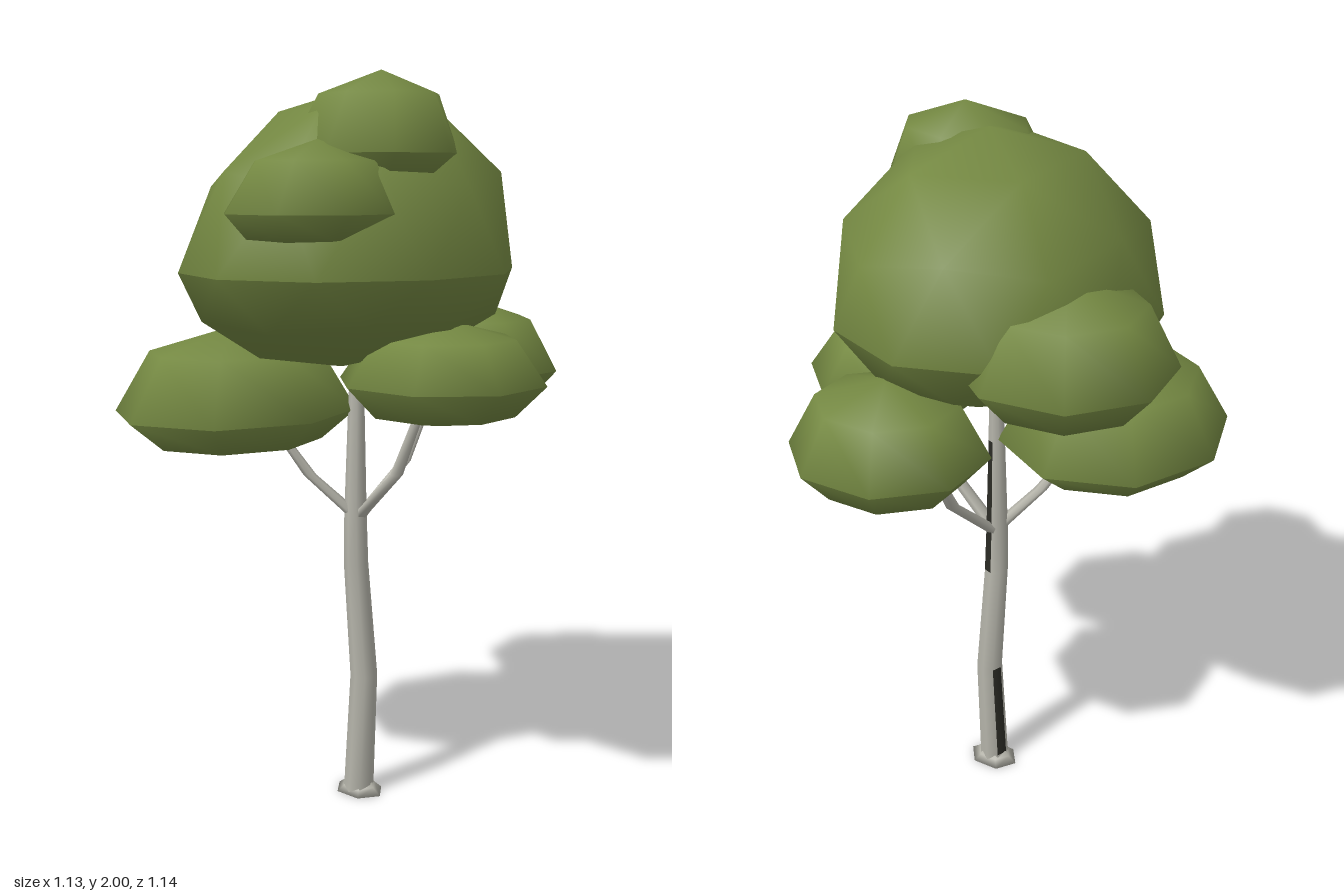
import * as THREE from 'three';

function flat(name, color) {
  const m = new THREE.MeshStandardMaterial({ color });
  m.name = name;
  return m;
}
const leaf = flat('leafGreen', 0x748842);
const bark = flat('paleBark', 0xb5b4aa);
const mark = flat('darkBarkMark', 0x2b2b25);

// Tapered limb through rings given as [x, y, z, radius]; marks lists dark [ring, side] cells
function limb(name, rings, sides, marks = []) {
  const pos = [], pale = [], dark = [];
  rings.forEach(([x, y, z, r], i) => {
    for (let s = 0; s < sides; s++) {
      const a = (s / sides) * Math.PI * 2;
      pos.push(x + r * Math.cos(a), y, z + r * Math.sin(a));
      if (i === rings.length - 1) continue;
      const p = i * sides + s, q = i * sides + ((s + 1) % sides);
      const cell = marks.some(([mr, ms]) => mr === i && ms === s) ? dark : pale;
      cell.push(p, p + sides, q, q, p + sides, q + sides);
    }
  });
  const geo = new THREE.BufferGeometry();
  geo.setAttribute('position', new THREE.Float32BufferAttribute(pos, 3));
  geo.setIndex([...pale, ...dark]);
  geo.addGroup(0, pale.length, 0);
  geo.addGroup(pale.length, dark.length, 1);
  geo.computeVertexNormals();
  const mesh = new THREE.Mesh(geo, [bark, mark]);
  mesh.name = name;
  return mesh;
}

// Leaf clump: smooth dome above its widest line, flatter underside below,
// with a sharp edge between them; lean shifts the dome in x and z as it rises
function clump(name, base, [x, y, z], [rx, rz], up, down, yaw, [leanX, leanZ] = [0, 0]) {
  const geo = base.index ? base.toNonIndexed() : base;
  geo.rotateY(yaw);
  const p = geo.attributes.position, n = geo.attributes.normal;
  const normal = new THREE.Vector3();
  for (let i = 0; i < p.count; i += 3) {
    const isTop = p.getY(i) + p.getY(i + 1) + p.getY(i + 2) > 0;
    const height = isTop ? up : down;
    for (let j = i; j < i + 3; j++) {
      const px = p.getX(j), py = p.getY(j), pz = p.getZ(j);
      const h = py * height;
      normal.set(px / rx, py / height, pz / rz).normalize();
      if (!isTop) normal.y -= 0.5;
      normal.normalize();
      n.setXYZ(j, normal.x, normal.y, normal.z);
      p.setXYZ(j, x + px * rx + leanX * h, y + h, z + pz * rz + leanZ * h);
    }
  }
  const mesh = new THREE.Mesh(geo, leaf);
  mesh.name = name;
  return mesh;
}

export function createModel() {
  const tree = new THREE.Group();
  tree.name = 'tree';

  // Trunk with a gentle bend and dark bark marks, running up into the crown
  tree.add(limb('trunk', [
    [-0.008, 0, 0.003, 0.045], [-0.006, 0.03, 0.003, 0.042], [0.006, 0.35, -0.004, 0.038],
    [-0.004, 0.68, 0.018, 0.034], [-0.006, 0.82, 0.018, 0.031],
    [-0.008, 1.1, 0.012, 0.023], [-0.005, 1.35, 0.01, 0.016],
  ], 8, [[1, 4], [3, 6], [4, 6]]));

  // Flared foot of the trunk, with its underside
  const flare = limb('rootFlare', [
    [0, 0.008, 0, 0.04], [0, 0, 0, 0.076], [0, 0.018, 0, 0.052], [0, 0.035, 0, 0.038],
  ], 6);
  flare.scale.z = 0.8;
  flare.position.x = -0.007;
  tree.add(flare);

  // Branches reaching to the three lower clumps
  const branches = {
    frontBranch: [[0, 0.81, 0.015, 0.022], [-0.1, 0.93, 0.1, 0.018], [-0.16, 1.03, 0.14, 0.014], [-0.19, 1.1, 0.17, 0.012]],
    sideBranch: [[0, 0.81, 0.015, 0.022], [0.14, 0.95, 0.02, 0.019], [0.21, 1.11, 0.02, 0.014], [0.24, 1.2, 0.02, 0.012]],
    backBranch: [[0, 0.81, 0.01, 0.022], [0.04, 0.95, -0.14, 0.019], [0.06, 1.11, -0.22, 0.014], [0.07, 1.2, -0.26, 0.012]],
  };
  for (const [name, rings] of Object.entries(branches)) tree.add(limb(name, rings, 6));

  // Large main crown, a corner pointing straight up
  const ico = new THREE.IcosahedronGeometry(1, 1);
  ico.rotateX(-Math.atan((1 + Math.sqrt(5)) / 2));
  tree.add(clump('mainCrown', ico, [0, 1.49, 0.045], [0.42, 0.48], 0.485, 0.25, 0.28, [-0.06, -0.22]));

  // Smaller clumps: name, centre, radii, height above, depth below, yaw, lean
  const clumps = [
    ['topClump', [0.12, 1.79, 0.095], [0.232, 0.21], 0.21, 0.1, 0.1, [-0.1, -0.27]],
    ['frontClump', [0.1, 1.645, 0.32], [0.225, 0.215], 0.178, 0.085, 0.39, [0, -0.2]],
    ['sideUpperClump', [-0.29, 1.45, -0.14], [0.28, 0.28], 0.225, 0.13, -0.3],
    ['frontLowerClump', [-0.26, 1.11, 0.22], [0.31, 0.352], 0.23, 0.115, -0.1],
    ['backLowerClump', [0.1, 1.2, -0.34], [0.265, 0.25], 0.2, 0.12, 0.39],
    ['sideLowerClump', [0.305, 1.22, 0.045], [0.275, 0.265], 0.16, 0.115, 0.39],
  ];
  for (const [name, ...shape] of clumps) {
    tree.add(clump(name, new THREE.SphereGeometry(1, 8, 4), ...shape));
  }
  return tree;
}
